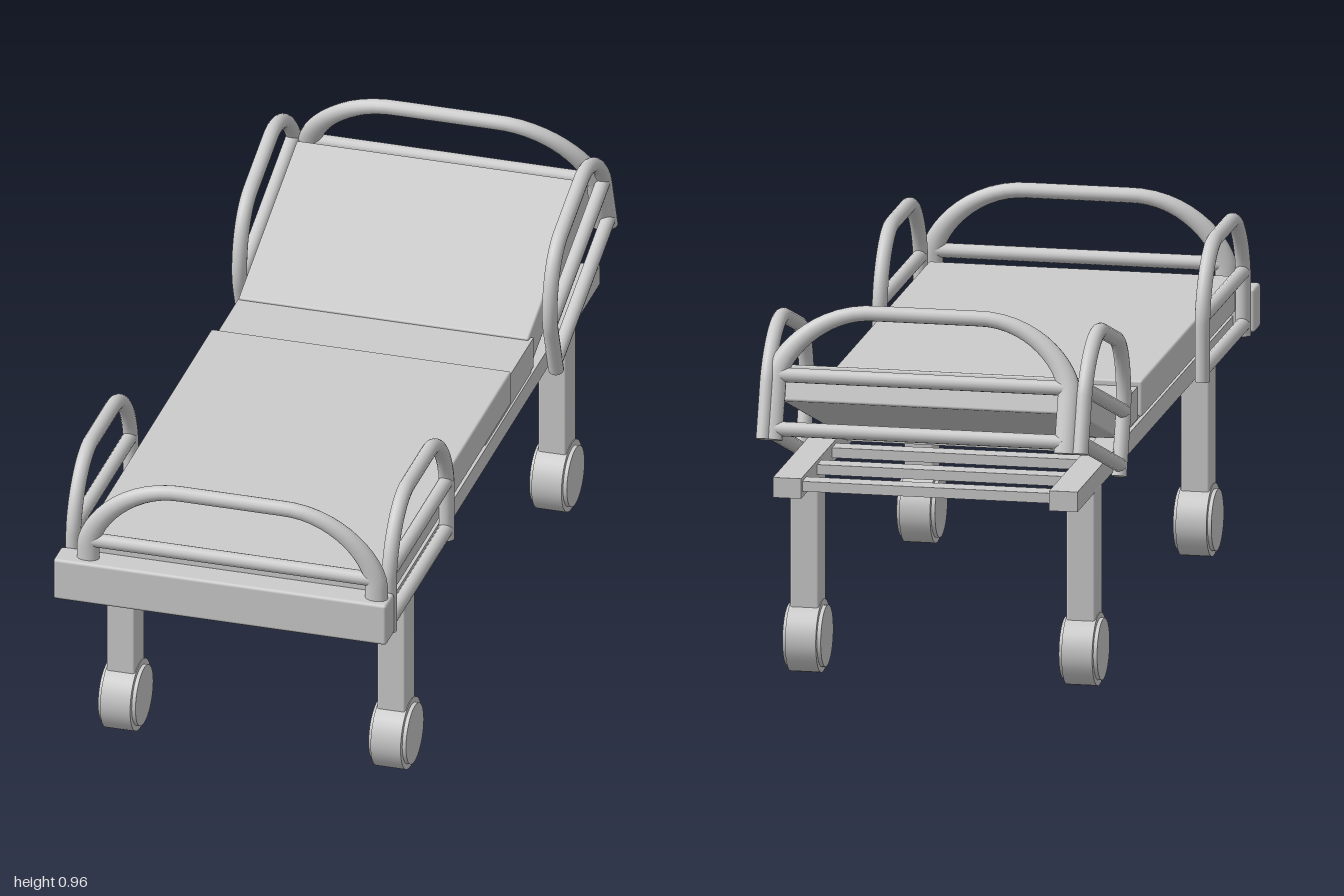
import * as THREE from 'three';
import { RoundedBoxGeometry } from 'three/addons/geometries/RoundedBoxGeometry.js';

const material = new THREE.MeshStandardMaterial({ color: 0xcccccc });

function add(parent, name, geometry, x = 0, y = 0, z = 0) {
  const mesh = new THREE.Mesh(geometry, material);
  mesh.name = name;
  mesh.position.set(x, y, z);
  parent.add(mesh);
  return mesh;
}

// Box given by its minimum and maximum corners, optionally with rounded edges
function block(parent, name, [x0, y0, z0], [x1, y1, z1], radius = 0) {
  const size = [x1 - x0, y1 - y0, z1 - z0];
  const geometry = radius ? new RoundedBoxGeometry(...size, 2, radius) : new THREE.BoxGeometry(...size);
  return add(parent, name, geometry, (x0 + x1) / 2, (y0 + y1) / 2, (z0 + z1) / 2);
}

// Centre line of a guard arch in the XY plane, standing on y = 0
function archPath() {
  const v = (x, y) => new THREE.Vector3(x, y, 0);
  const path = new THREE.CurvePath();
  path.add(new THREE.LineCurve3(v(-0.245, 0), v(-0.245, 0.14)));
  path.add(new THREE.CubicBezierCurve3(v(-0.245, 0.14), v(-0.245, 0.21), v(-0.18, 0.32), v(-0.09, 0.32)));
  path.add(new THREE.LineCurve3(v(-0.09, 0.32), v(0.09, 0.32)));
  path.add(new THREE.CubicBezierCurve3(v(0.09, 0.32), v(0.18, 0.32), v(0.245, 0.21), v(0.245, 0.14)));
  path.add(new THREE.LineCurve3(v(0.245, 0.14), v(0.245, 0)));
  return path;
}

// Tubular arch with two cross bars
function guard(name) {
  const group = new THREE.Group();
  group.name = name;
  add(group, 'guardArch', new THREE.TubeGeometry(archPath(), 48, 0.019, 14, false));
  for (const x of [-0.245, 0.245]) {
    add(group, 'guardFoot', new THREE.CircleGeometry(0.019, 14), x, 0, 0).rotation.x = Math.PI / 2;
  }
  for (const y of [0.028, 0.16]) {
    add(group, 'guardBar', new THREE.CylinderGeometry(0.018, 0.018, 0.48, 14), 0, y, 0).rotation.z = Math.PI / 2;
  }
  return group;
}

function sideGuard(parent, name, x, y, z) {
  const group = guard(name);
  group.rotation.y = Math.PI / 2;
  group.position.set(x, y, z);
  parent.add(group);
}

function endGuard(parent, name, y, z) {
  const group = guard(name);
  group.scale.x = 1.49;
  group.position.set(0.02, y, z);
  parent.add(group);
}

export function createModel() {
  const bed = new THREE.Group();
  bed.name = 'adjustableBed';

  // Base frame, legs and wheels
  for (const x of [-0.335, 0.35]) {
    block(bed, 'frameRail', [x - 0.035, 0.49, -0.94], [x + 0.035, 0.54, 0.94]);
    for (const z of [0.68, -0.69]) {
      block(bed, 'leg', [x - 0.036, 0.1, z - 0.043], [x + 0.036, 0.495, z + 0.043], 0.006);
      add(bed, 'wheel', new THREE.CylinderGeometry(0.09, 0.09, 0.076, 32), x, 0.09, z).rotation.z = Math.PI / 2;
      add(bed, 'wheelHub', new THREE.CylinderGeometry(0.076, 0.076, 0.095, 32), x, 0.09, z).rotation.z = Math.PI / 2;
    }
  }

  // Cross slats between the rails
  for (let i = 0; i < 11; i++) {
    const z = -0.9 + i * 0.178;
    block(bed, 'slat', [-0.31, 0.505, z - 0.025], [0.325, 0.53, z + 0.025]);
  }

  // Flat mattress sections
  block(bed, 'footMattress', [-0.375, 0.55, -0.185], [0.385, 0.64, 0.93], 0.006);
  block(bed, 'middleMattress', [-0.363, 0.545, -0.39], [0.38, 0.625, -0.18]);
  block(bed, 'hingePlate', [-0.36, 0.537, -0.37], [0.38, 0.552, 0.02]);

  // Foot end
  block(bed, 'footBoard', [-0.424, 0.5, 0.928], [0.42, 0.61, 1], 0.008);
  endGuard(bed, 'footEndGuard', 0.5, 0.965);
  sideGuard(bed, 'rightFootGuard', -0.398, 0.497, 0.668);
  sideGuard(bed, 'leftFootGuard', 0.402, 0.497, 0.668);

  // Raised backrest with its own guards
  const backrest = new THREE.Group();
  backrest.name = 'backrest';
  backrest.position.set(0, 0.56, -0.74);
  backrest.rotation.x = 0.34;
  block(backrest, 'headMattress', [-0.362, 0.1, -0.205], [0.373, 0.19, 0.326], 0.006);
  endGuard(backrest, 'headEndGuard', 0, -0.238);
  sideGuard(backrest, 'rightHeadGuard', -0.384, 0, 0);
  sideGuard(backrest, 'leftHeadGuard', 0.402, 0, 0);
  bed.add(backrest);

  return bed;
}
